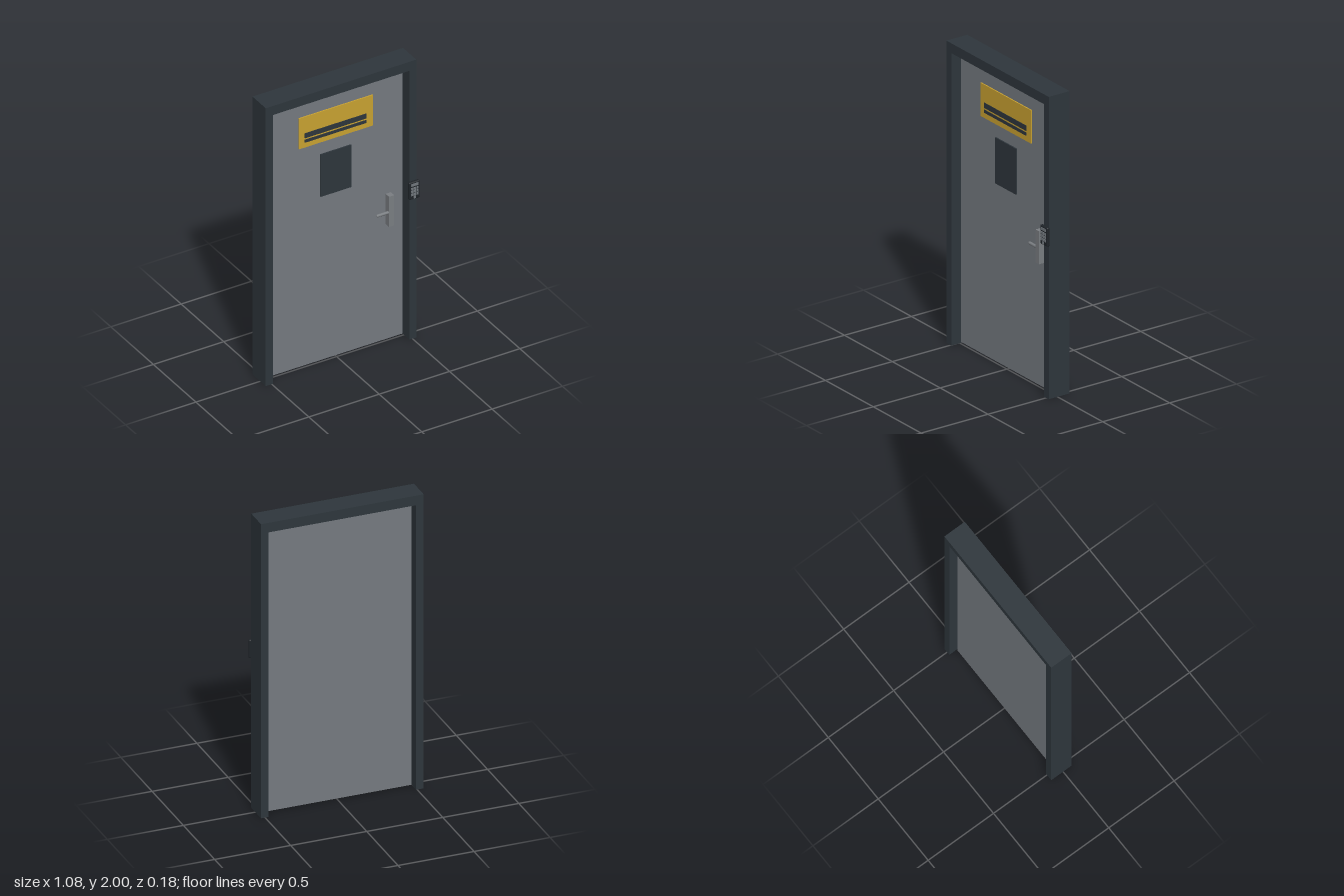
import * as THREE from 'three';
import { RoundedBoxGeometry } from 'three/addons/geometries/RoundedBoxGeometry.js';

const mat = (name, color) => {
  const m = new THREE.MeshStandardMaterial({ color });
  m.name = name;
  return m;
};

export function createModel() {
  const frameMat = mat('dark slate frame', 0x2e363c);
  const doorMat = mat('grey door', 0x757a80);
  const signMat = mat('yellow sign', 0xc9a231);
  const metalMat = mat('handle metal', 0x7a7e82);
  const padMat = mat('keypad casing', 0x1f2429);
  const keyMat = mat('keypad keys', 0x71777d);

  const model = new THREE.Group();
  model.name = 'securityDoor';

  const add = (name, geo, material, parent = model) => {
    const mesh = new THREE.Mesh(geo, material);
    mesh.name = name;
    parent.add(mesh);
    return mesh;
  };
  // Box given by its minimum and maximum on each axis
  const slab = (name, x0, x1, y0, y1, z0, z1, material, parent) => {
    const mesh = add(name, new THREE.BoxGeometry(x1 - x0, y1 - y0, z1 - z0), material, parent);
    mesh.position.set((x0 + x1) / 2, (y0 + y1) / 2, (z0 + z1) / 2);
    return mesh;
  };

  // Frame: one extruded arch, open at the bottom
  const [left, right, innerLeft, innerRight, innerTop] = [-0.543, 0.527, -0.492, 0.478, 1.935];
  const outline = new THREE.Shape([
    [left, 0], [innerLeft, 0], [innerLeft, innerTop], [innerRight, innerTop],
    [innerRight, 0], [right, 0], [right, 2], [left, 2],
  ].map(([x, y]) => new THREE.Vector2(x, y)));
  const frame = add('frame', new THREE.ExtrudeGeometry(outline, { depth: 0.156, bevelEnabled: false }), frameMat);
  frame.position.z = -0.091;

  // Door leaf, set back between the jambs with a narrow gap
  const front = -0.003;
  slab('doorLeaf', -0.485, 0.469, 0.01, 1.927, -0.036, front, doorMat);

  // Sign plate with two bars
  slab('signPlate', -0.27, 0.256, 1.582, 1.802, front, front + 0.008, signMat);
  for (const [y0, y1] of [[1.65, 1.685], [1.618, 1.639]])
    slab('signBar', -0.23, 0.209, y0, y1, front + 0.008, front + 0.011, frameMat);

  // Dark window panel
  slab('windowPanel', -0.117, 0.102, 1.19, 1.493, front, front + 0.009, frameMat);

  // Handle: tall plate, short neck and sideways lever
  const handle = new THREE.Group();
  handle.name = 'handle';
  model.add(handle);
  slab('handlePlate', 0.35, 0.387, 0.837, 1.055, front, front + 0.04, metalMat, handle);
  const lever = add('handleLever', new THREE.CapsuleGeometry(0.01, 0.088, 4, 12), metalMat, handle);
  lever.rotation.z = Math.PI / 2;
  lever.position.set(0.319, 0.937, front + 0.03);

  // Keypad on the frame
  const keypad = new THREE.Group();
  keypad.name = 'keypad';
  keypad.position.set(0.502, 1.078, 0.065);
  model.add(keypad);
  const body = add('keypadBody', new RoundedBoxGeometry(0.077, 0.126, 0.022, 3, 0.009), padMat, keypad);
  body.position.z = 0.011;
  slab('keypadDisplay', -0.025, 0.025, 0.033, 0.052, 0.021, 0.024, keyMat, keypad);
  for (let row = 0; row < 4; row++) {
    for (let col = -1; col <= 1; col++) {
      if (row === 3 && col !== 0) continue;
      const x = col * 0.019, y = 0.017 - row * 0.021;
      slab('key', x - 0.0075, x + 0.0075, y - 0.008, y + 0.008, 0.02, 0.026, keyMat, keypad);
    }
  }
  return model;
}
